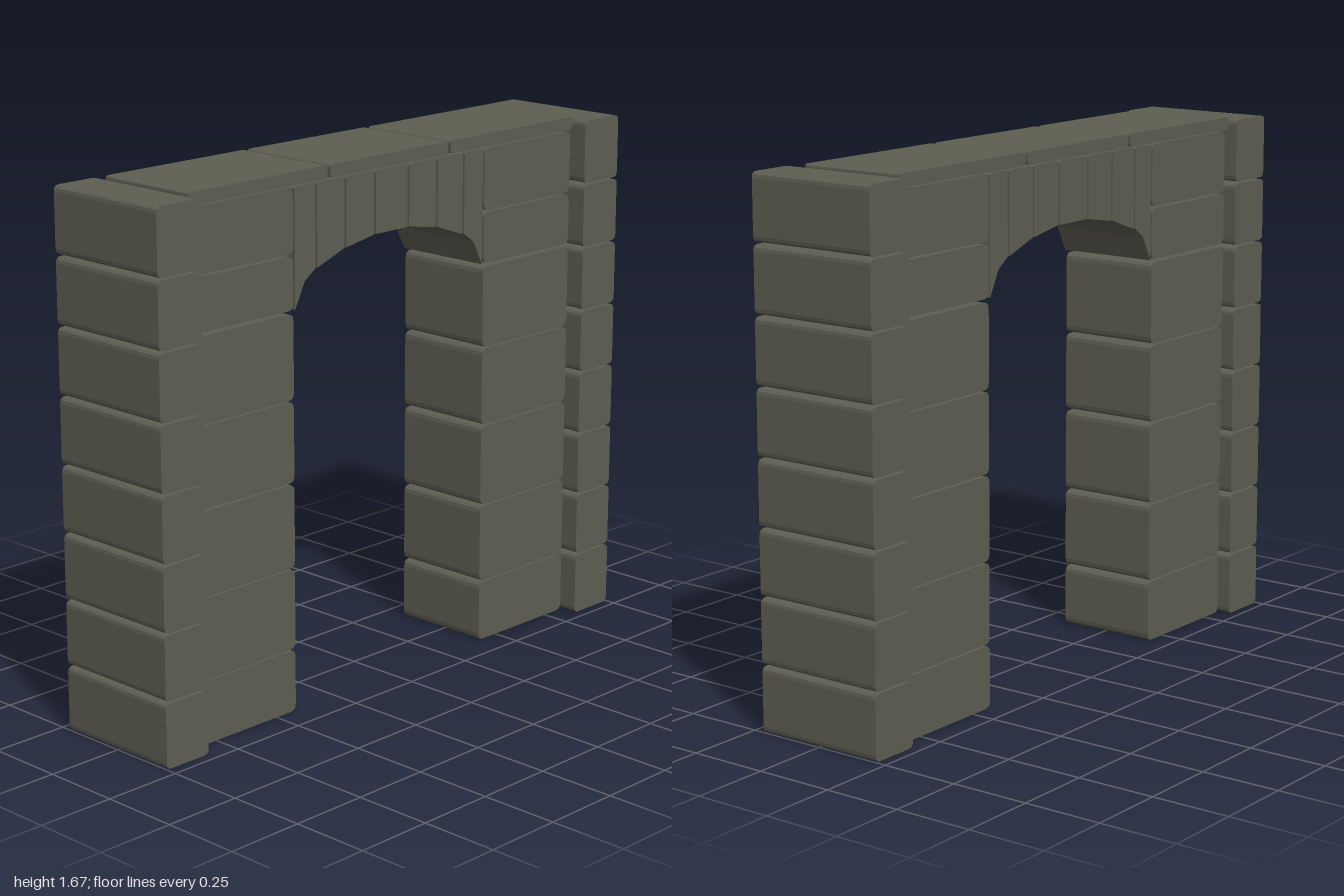
import * as THREE from 'three';

const stone = new THREE.MeshStandardMaterial({ color: 0x5f5e52 });
stone.name = 'olive grey stone';

// Extrude an outline in x/y between two z positions
function slab(name, shape, zBack, zFront) {
  const geo = new THREE.ExtrudeGeometry(shape, {
    depth: zFront - zBack, bevelEnabled: false, curveSegments: 3,
  });
  geo.translate(0, 0, zBack);
  const mesh = new THREE.Mesh(geo, stone);
  mesh.name = name;
  return mesh;
}

// Rectangle with softened corners
function roundedRect(x0, x1, y0, y1, r) {
  const s = new THREE.Shape();
  s.moveTo(x0 + r, y0);
  s.lineTo(x1 - r, y0);
  s.quadraticCurveTo(x1, y0, x1, y0 + r);
  s.lineTo(x1, y1 - r);
  s.quadraticCurveTo(x1, y1, x1 - r, y1);
  s.lineTo(x0 + r, y1);
  s.quadraticCurveTo(x0, y1, x0, y1 - r);
  s.lineTo(x0, y0 + r);
  s.quadraticCurveTo(x0, y0, x0 + r, y0);
  return s;
}

export function createModel() {
  const gate = new THREE.Group();
  gate.name = 'stoneArchway';
  const wallBack = -0.175, wallFront = 0.157;

  // Outer columns and wall piers, mirrored left and right
  const courses = [
    [0, 0.197], [0.202, 0.455], [0.46, 0.722], [0.728, 0.978],
    [0.983, 1.245], [1.255, 1.418], [1.424, 1.622],
  ];
  for (const side of [-1, 1]) {
    const label = side > 0 ? 'left' : 'right';
    const span = (a, b) => (side > 0 ? [a, b] : [-b, -a]);

    const column = new THREE.Group();
    column.name = label + 'Column';
    for (let i = 0; i < 8; i++) {
      const y = i * 0.2083;
      column.add(slab('columnBlock', roundedRect(...span(0.835, 1), y, y + 0.202, 0.018), -0.217, 0.215));
    }

    const pier = new THREE.Group();
    pier.name = label + 'Pier';
    for (const [y0, y1] of courses) {
      pier.add(slab('pierBlock', roundedRect(...span(0.418, 0.83), y0, y1, 0.022), wallBack, wallFront));
    }
    gate.add(column, pier);
  }

  // Arch stones: each one follows the soffit between two joints
  const soffit = [
    [-0.415, 1.255], [-0.37, 1.335], [-0.322, 1.366], [-0.2, 1.407], [-0.073, 1.428],
    [0.073, 1.428], [0.2, 1.407], [0.322, 1.366], [0.37, 1.335], [0.415, 1.255],
  ];
  const stones = [[0, 2], [2, 3], [3, 4], [4, 5], [5, 6], [6, 7], [7, 9]];
  const arch = new THREE.Group();
  arch.name = 'arch';
  for (const [a, b] of stones) {
    const pts = soffit.slice(a, b + 1).map(([x, y]) => new THREE.Vector2(x, y));
    pts[0].x += 0.004;
    pts[pts.length - 1].x -= 0.004;
    const x0 = pts[0].x, x1 = pts[pts.length - 1].x, c = 0.006;
    pts.push(
      new THREE.Vector2(x1, 1.622 - c), new THREE.Vector2(x1 - c, 1.622),
      new THREE.Vector2(x0 + c, 1.622), new THREE.Vector2(x0, 1.622 - c),
    );
    arch.add(slab('archStone', new THREE.Shape(pts), wallBack, wallFront));
  }
  gate.add(arch);

  // Capping slabs along the top
  for (const [x0, x1] of [[-0.832, -0.281], [-0.268, 0.243], [0.256, 0.832]]) {
    gate.add(slab('capSlab', roundedRect(x0, x1, 1.628, 1.668, 0.008), -0.186, 0.163));
  }
  return gate;
}
